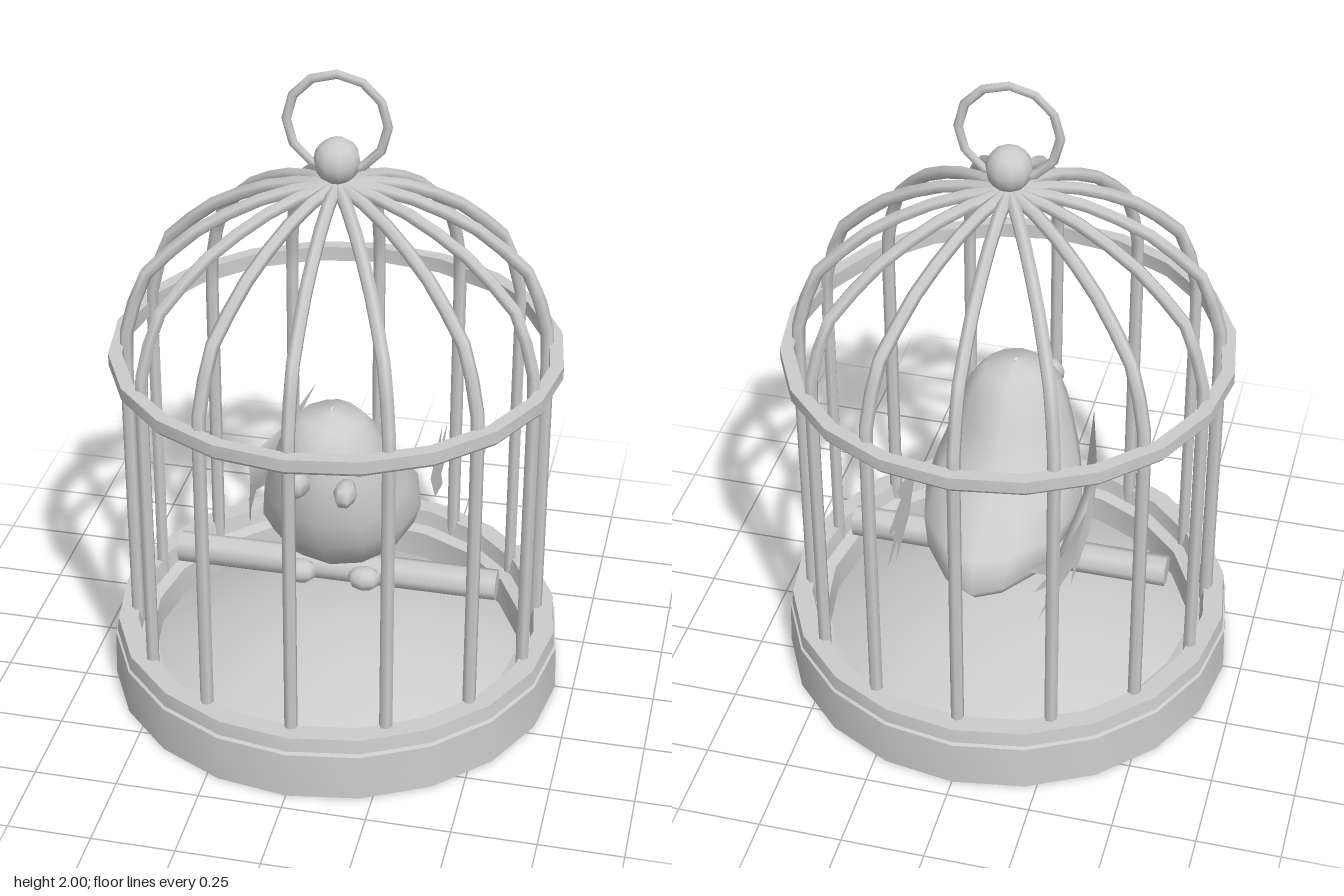
import * as THREE from 'three';
import { toCreasedNormals, mergeVertices } from 'three/addons/utils/BufferGeometryUtils.js';

const grey = new THREE.MeshStandardMaterial({ color: 0xcccccc });
const thin = new THREE.MeshStandardMaterial({ color: 0xcccccc, side: THREE.DoubleSide });

function add(parent, name, geometry, material = grey) {
  const mesh = new THREE.Mesh(geometry, material);
  mesh.name = name;
  parent.add(mesh);
  return mesh;
}

const lathe = (points, sides = 20) =>
  toCreasedNormals(new THREE.LatheGeometry(points.map(p => new THREE.Vector2(...p)), sides), 0.6);

// Body: stacked teardrop sections, each [y, back z, front z, half width]
function bodyGeometry() {
  const sections = [
    [0.402, -0.12, -0.08, 0.002], [0.41, -0.25, 0.02, 0.09], [0.45, -0.37, 0.14, 0.18],
    [0.51, -0.43, 0.21, 0.22], [0.59, -0.38, 0.265, 0.245], [0.68, -0.22, 0.285, 0.22],
    [0.76, -0.13, 0.29, 0.19], [0.84, -0.08, 0.285, 0.165], [0.91, -0.03, 0.26, 0.138],
    [0.96, 0.02, 0.21, 0.095], [0.982, 0.1, 0.13, 0.002],
  ];
  const n = 12, pos = [], index = [];
  sections.forEach(([y, zb, zf, hw], r) => {
    const zw = Math.max(zf - hw * 1.2, (zb + zf) / 2);
    for (let i = 0; i < n; i++) {
      const a = (i / n) * Math.PI * 2, c = Math.cos(a), s = Math.sin(a);
      const taper = c < 0 ? Math.pow(Math.abs(s), 0.35) : 1;
      pos.push(0.01 + hw * s * taper, y, zw + (c > 0 ? (zf - zw) * c : (zw - zb) * c));
      if (r === 0) continue;
      const j = (i + 1) % n, lo = (r - 1) * n, hi = r * n;
      index.push(lo + i, lo + j, hi + i, lo + j, hi + j, hi + i);
    }
  });
  const g = new THREE.BufferGeometry();
  g.setAttribute('position', new THREE.Float32BufferAttribute(pos, 3));
  g.setIndex(index);
  g.computeVertexNormals();
  return g;
}

// Wing: flat feathered outline of [z, y] points, bent around the body
function wingGeometry(outline, side, bend) {
  const g = new THREE.ShapeGeometry(new THREE.Shape(outline.map(p => new THREE.Vector2(...p))));
  const p = g.attributes.position;
  for (let i = 0; i < p.count; i++) {
    const z = p.getX(i), y = p.getY(i);
    p.setXYZ(i, side * (0.275 - bend * (z + 0.1) ** 2), y, z);
  }
  g.computeVertexNormals();
  return g;
}

function createBird() {
  const bird = new THREE.Group();
  bird.name = 'bird';
  add(bird, 'body', bodyGeometry());

  add(bird, 'leftWing', wingGeometry([
    [-0.07, 0.66], [-0.16, 0.7], [-0.28, 0.73], [-0.24, 0.67], [-0.41, 0.66],
    [-0.31, 0.61], [-0.42, 0.55], [-0.28, 0.55], [-0.32, 0.49], [-0.16, 0.54],
  ], 1, 0.1), thin);
  add(bird, 'rightWing', wingGeometry([
    [0.22, 0.76], [0.05, 0.7], [-0.15, 0.66], [-0.33, 0.63], [-0.5, 0.7], [-0.4, 0.61],
    [-0.47, 0.6], [-0.36, 0.55], [-0.45, 0.48], [-0.25, 0.53], [-0.27, 0.47],
    [-0.08, 0.54], [0.1, 0.56], [0.22, 0.62],
  ], -1, 0.6), thin);

  // Beak and eye
  const beak = add(bird, 'beak', new THREE.SphereGeometry(0.045, 6, 5));
  beak.position.set(-0.058, 0.825, 0.295);
  const eye = add(bird, 'eye', new THREE.SphereGeometry(0.042, 6, 4));
  eye.scale.set(0.85, 0.9, 1.4);
  eye.position.set(0.093, 0.82, 0.31);

  // Feet gripping the perch
  for (const side of [-1, 1]) {
    const foot = add(bird, side > 0 ? 'leftFoot' : 'rightFoot', new THREE.SphereGeometry(0.04, 8, 6));
    foot.scale.set(1.3, 0.95, 1);
    foot.position.set(side * 0.1, 0.365, 0.07);
  }
  return bird;
}

export function createModel() {
  const model = new THREE.Group();
  model.name = 'birdCage';

  // Base tray with a stepped rim and a sunken edge around the floor
  add(model, 'base', lathe([
    [0, 0], [0.695, 0], [0.69, 0.145], [0.675, 0.15], [0.685, 0.155], [0.68, 0.2],
    [0.62, 0.2], [0.61, 0.15], [0.575, 0.14], [0.57, 0.05],
  ]));

  // Domed floor
  const floor = [];
  for (let i = 0; i <= 8; i++) {
    const t = 1 - i / 8;
    floor.push(new THREE.Vector2(0.572 * t, 0.05 + 0.147 * (1 - t * t)));
  }
  add(model, 'floor', new THREE.LatheGeometry(floor, 20));

  // Bars: straight sides bending into the dome
  const path = new THREE.CurvePath();
  const profile = [[0.62, 0.15], [0.62, 1.16], [0.57, 1.35], [0.43, 1.49], [0.26, 1.59], [0.11, 1.637], [0.02, 1.648]]
    .map(([r, y]) => new THREE.Vector3(0, y, r));
  for (let i = 1; i < profile.length; i++) path.add(new THREE.LineCurve3(profile[i - 1], profile[i]));
  const barGeometry = mergeVertices(new THREE.TubeGeometry(path, 18, 0.02, 6));
  const bars = new THREE.Group();
  bars.name = 'bars';
  model.add(bars);
  for (let i = 0; i < 14; i++) {
    add(bars, 'bar', barGeometry).rotation.y = (i / 14) * Math.PI * 2;
  }

  // Band around the bars
  add(model, 'band', lathe([
    [0.63, 1.09], [0.663, 1.09], [0.67, 1.1], [0.67, 1.138], [0.63, 1.138], [0.63, 1.09],
  ]));

  // Finial and hanging ring
  add(model, 'finial', new THREE.SphereGeometry(0.068, 10, 8)).position.y = 1.725;
  const ring = add(model, 'hangingRing', new THREE.TorusGeometry(0.146, 0.014, 6, 12));
  ring.scale.z = 0.8;
  ring.position.y = 1.84;

  // Perch
  const perch = add(model, 'perch', toCreasedNormals(new THREE.CylinderGeometry(0.048, 0.048, 1, 8), 0.9));
  perch.rotation.z = Math.PI / 2;
  perch.position.y = 0.353;

  model.add(createBird());
  return model;
}
